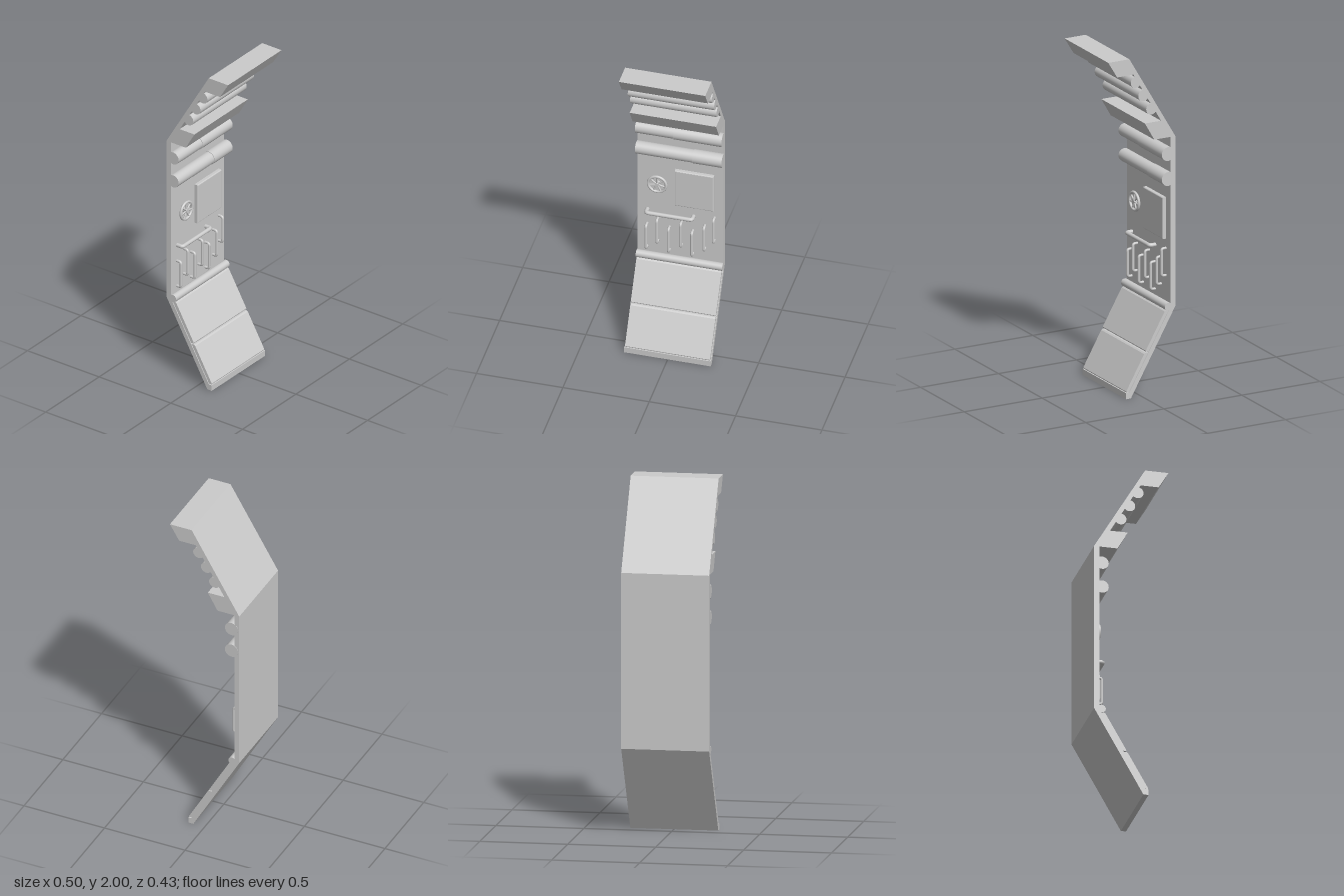
import * as THREE from 'three';

const LEFT = 0.248, RIGHT = -0.252, WALL = -0.185;
const material = new THREE.MeshStandardMaterial({ color: 0xcccccc });

export function createModel() {
  const group = new THREE.Group();

  function add(name, geometry, parent = group) {
    const mesh = new THREE.Mesh(geometry, material);
    mesh.name = name;
    parent.add(mesh);
    return mesh;
  }

  // Side profile of [z, y] points, swept across x
  function sweep(name, points, x0 = RIGHT, x1 = LEFT) {
    const shape = new THREE.Shape(points.map(p => new THREE.Vector2(...p)));
    const geometry = new THREE.ExtrudeGeometry(shape, { depth: x1 - x0, bevelEnabled: false });
    geometry.rotateY(-Math.PI / 2).translate(x1, 0, 0);
    return add(name, geometry);
  }

  // Horizontal pipe running along x
  function pipe(name, y, z, radius, x0 = RIGHT, x1 = LEFT) {
    const geometry = new THREE.CylinderGeometry(radius, radius, x1 - x0, 32);
    geometry.rotateZ(Math.PI / 2).translate((x0 + x1) / 2, y, z);
    return add(name, geometry);
  }

  // Grab handle: a bar with rounded corners whose ends run back into the wall
  function handle(name, a, b, radius, z) {
    const start = new THREE.Vector3(a[0], a[1], WALL - 0.005);
    const end = new THREE.Vector3(b[0], b[1], WALL - 0.005);
    const step = end.clone().sub(start).normalize().multiplyScalar(0.014);
    const at = (p, depth) => new THREE.Vector3(p.x, p.y, depth);
    const s1 = at(start, z), e1 = at(end, z);
    const path = new THREE.CurvePath();
    path.add(new THREE.LineCurve3(start, at(start, z - 0.014)));
    path.add(new THREE.QuadraticBezierCurve3(at(start, z - 0.014), s1, s1.clone().add(step)));
    path.add(new THREE.LineCurve3(s1.clone().add(step), e1.clone().sub(step)));
    path.add(new THREE.QuadraticBezierCurve3(e1.clone().sub(step), e1, at(end, z - 0.014)));
    path.add(new THREE.LineCurve3(at(end, z - 0.014), end));
    add(name, new THREE.TubeGeometry(path, 64, radius, 12));
  }

  // Bent wall with a small foot at the bottom
  sweep('wall', [
    [0.07, 0], [0.1, 0], [0.1, 0.035], [0.081, 0.035], [WALL, 0.5],
    [WALL, 1.5], [0.11, 2], [0.08, 2], [-0.215, 1.5], [-0.215, 0.5],
  ]);

  // Two plates on the sloping lower wall, separated by a narrow seam
  const slope = y => 0.07 - 0.57 * y;
  for (const [y0, y1] of [[0.038, 0.252], [0.258, 0.482]]) {
    sweep('lowerPlate', [
      [slope(y0) + 0.02, y0], [slope(y0) + 0.048, y0], [slope(y0 + 0.006) + 0.053, y0 + 0.006],
      [slope(y1 - 0.006) + 0.053, y1 - 0.006], [slope(y1) + 0.048, y1], [slope(y1) + 0.02, y1],
    ], RIGHT + 0.004, LEFT - 0.004);
  }

  // Ledges on the sloping upper wall
  sweep('topLedge', [[0.024, 1.905], [0.158, 1.905], [0.215, 2], [0.08, 2]]);
  sweep('lowerLedge', [[-0.2, 1.5], [-0.08, 1.5], [-0.02, 1.605], [-0.14, 1.605]]);

  // Pipes between the ledges
  for (const [y, z] of [[1.858, 0.037], [1.772, -0.011], [1.685, -0.062]]) {
    pipe('upperPipe', y, z, 0.034);
  }

  // Main pipes, each with a slightly wider sleeve toward the left end
  for (const [y, seam] of [[1.402, -0.03], [1.255, 0.08]]) {
    pipe('mainPipe', y, -0.168, 0.038);
    pipe('pipeSleeve', y, -0.168, 0.041, seam, 0.25);
  }
  pipe('cornerPipe', 0.502, -0.17, 0.023);

  // Raised square panel with bevelled edges
  const square = new THREE.Shape([
    new THREE.Vector2(-0.024, 0.891), new THREE.Vector2(0.189, 0.891),
    new THREE.Vector2(0.189, 1.124), new THREE.Vector2(-0.024, 1.124),
  ]);
  add('squarePanel', new THREE.ExtrudeGeometry(square, {
    depth: 0.016, bevelThickness: 0.006, bevelSize: 0.006, bevelSegments: 3,
  }).translate(0, 0, WALL));

  // Hand wheel: rim, hub and spokes
  const wheel = new THREE.Group();
  wheel.name = 'handWheel';
  wheel.position.set(-0.132, 1.015, -0.165);
  group.add(wheel);
  add('wheelRim', new THREE.TorusGeometry(0.052, 0.008, 12, 40), wheel);
  add('wheelHub', new THREE.CylinderGeometry(0.011, 0.013, 0.03, 20).rotateX(Math.PI / 2), wheel)
    .position.z = -0.006;
  for (let i = 0; i < 7; i++) {
    const spoke = new THREE.CylinderGeometry(0.005, 0.005, 0.045, 10);
    spoke.translate(0, 0.028, 0).rotateZ(i * Math.PI * 2 / 7);
    add('wheelSpoke', spoke, wheel);
  }

  // One horizontal handle above a row of staggered upright handles
  handle('horizontalHandle', [-0.193, 0.815], [0.073, 0.815], 0.012, -0.148);
  const uprights = [
    [-0.195, 0.555], [-0.132, 0.605], [-0.065, 0.555], [0.005, 0.605],
    [0.07, 0.555], [0.14, 0.605], [0.195, 0.67],
  ];
  for (const [x, y] of uprights) handle('uprightHandle', [x, y], [x, y + 0.16], 0.008, -0.156);

  return group;
}
